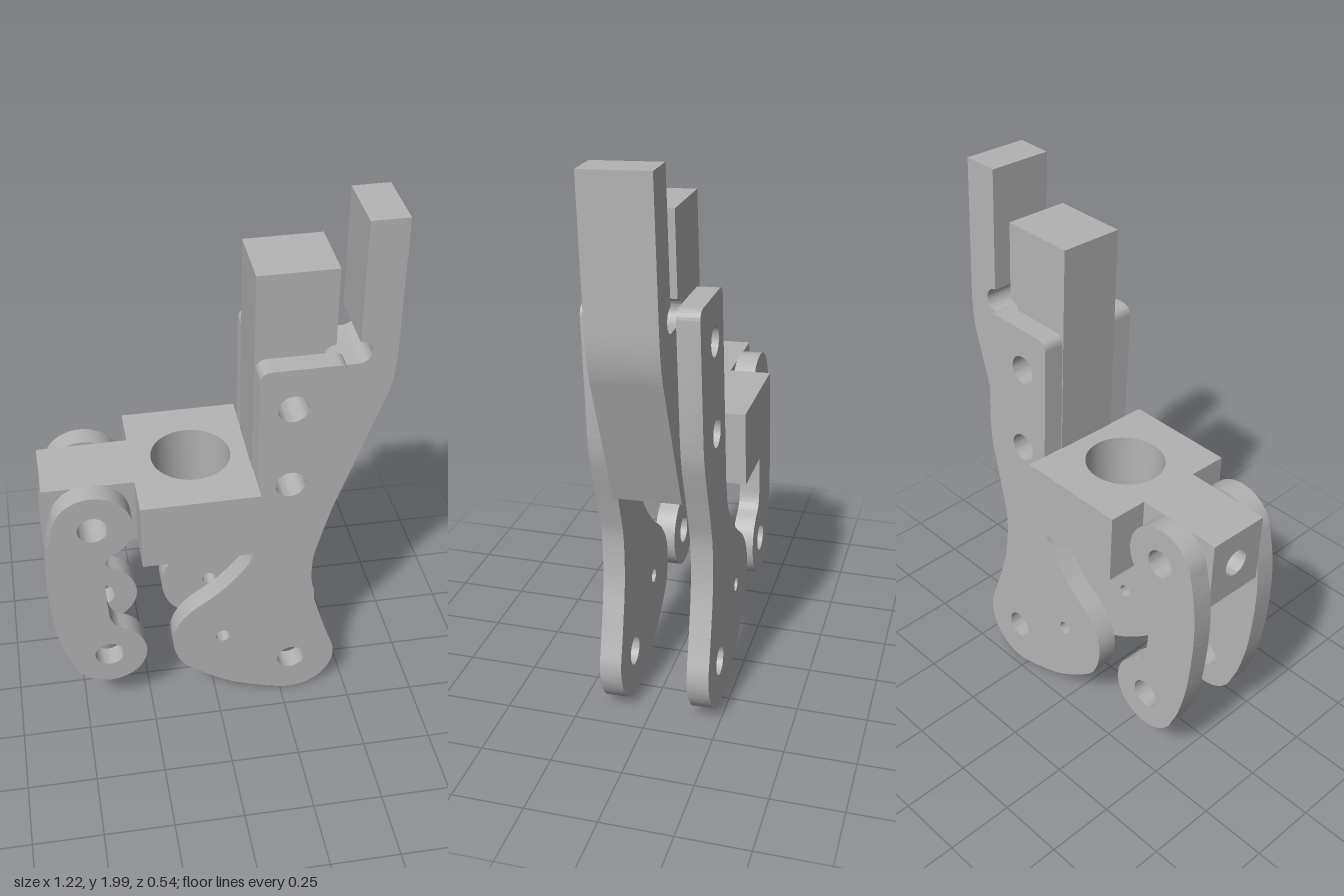
import * as THREE from 'three';
import { toCreasedNormals } from 'three/addons/utils/BufferGeometryUtils.js';

const steel = new THREE.MeshStandardMaterial({ color: 0xb3b3b3 });
steel.name = 'plain grey metal';

const points = (list) => list.map(([x, y]) => new THREE.Vector2(x, y));

function addHoles(shape, holes) {
  for (const [x, y, r] of holes) {
    const hole = new THREE.Path();
    hole.absarc(x, y, r, 0, Math.PI * 2, true);
    shape.holes.push(hole);
  }
  return shape;
}

function rectangle(x0, y0, x1, y1) {
  return new THREE.Shape(points([[x0, y0], [x1, y0], [x1, y1], [x0, y1]]));
}

// Extrusion along z from z0 to z1, with smooth curved walls and sharp rims
function extrude(shape, z0, z1) {
  const geometry = new THREE.ExtrudeGeometry(shape, {
    depth: z1 - z0, bevelEnabled: false, curveSegments: 20,
  });
  geometry.translate(0, 0, z0);
  return geometry;
}

function part(name, geometry) {
  const mesh = new THREE.Mesh(toCreasedNormals(geometry, 0.6), steel);
  mesh.name = name;
  return mesh;
}

const INNER = 0.118, OUTER = 0.196;      // side plate faces
const BOTTOM = 0.807, TOP = 1.066;       // block height range
const pinHoles = [[0.248, 1.364, 0.052], [0.248, 1.044, 0.052]];

// Central post and lever, one body with a keyhole notch between them
function bodyShape() {
  const s = new THREE.Shape();
  s.moveTo(0.13, 0.86);
  s.lineTo(0.428, 0.857);
  s.lineTo(0.59, 1.33);
  s.quadraticCurveTo(0.612, 1.4, 0.612, 1.5);
  s.lineTo(0.612, 1.99);
  s.lineTo(0.482, 1.99);
  s.lineTo(0.482, 1.549);
  s.absarc(0.482, 1.507, 0.042, Math.PI / 2, -Math.PI / 2, true);
  s.lineTo(0.4, 1.465);
  s.absarc(0.4, 1.507, 0.042, -Math.PI / 2, -Math.PI * 1.5, true);
  s.lineTo(0.4, 1.833);
  s.lineTo(0.13, 1.833);
  s.closePath();
  return addHoles(s, pinHoles);
}

// Tall side plate with a lobed foot
function plateShape() {
  const s = new THREE.Shape();
  s.moveTo(0.173, 1.52);
  s.quadraticCurveTo(0.133, 1.52, 0.133, 1.48);
  s.lineTo(0.133, 0.82);
  s.splineThru(points([
    [0.127, 0.77], [0.105, 0.69], [0.005, 0.572], [-0.105, 0.485], [-0.16, 0.41],
    [-0.174, 0.335], [-0.152, 0.245], [-0.098, 0.182], [0.04, 0.087], [0.19, 0.029],
  ]));
  s.absarc(0.276, 0.178, 0.166, -2.0, 0.35, false);
  s.splineThru(points([
    [0.396, 0.34], [0.352, 0.5], [0.341, 0.66], [0.367, 0.79], [0.415, 0.97], [0.427, 1.07],
  ]));
  s.lineTo(0.427, 1.48);
  s.quadraticCurveTo(0.427, 1.52, 0.387, 1.52);
  s.closePath();
  return addHoles(s, [...pinHoles, [0.276, 0.178, 0.052], [0.013, 0.341, 0.026]]);
}

// Curved hanging link with a round eye at each end
function linkShape() {
  const s = new THREE.Shape();
  s.absarc(-0.44, 0.937, 0.14, -1.05, Math.PI * 0.93, false);
  s.splineThru(points([
    [-0.603, 0.85], [-0.614, 0.7], [-0.603, 0.5], [-0.576, 0.36], [-0.545, 0.275],
  ]));
  s.absarc(-0.413, 0.32, 0.14, Math.PI * 1.1, Math.PI * 2.38, false);
  s.quadraticCurveTo(-0.402, 0.47, -0.405, 0.54);
  s.quadraticCurveTo(-0.414, 0.65, -0.406, 0.76);
  s.quadraticCurveTo(-0.405, 0.81, -0.37, 0.816);
  s.closePath();
  return addHoles(s, [[-0.44, 0.937, 0.053], [-0.413, 0.32, 0.053]]);
}

export function createModel() {
  const assembly = new THREE.Group();
  assembly.name = 'clampAssembly';

  assembly.add(part('postAndLever', extrude(bodyShape(), -INNER, INNER)));

  // Mirrored side plates and links
  for (const [side, z0, z1] of [['front', INNER, OUTER], ['back', -OUTER, -INNER]]) {
    assembly.add(part(side + 'Plate', extrude(plateShape(), z0, z1)));
    assembly.add(part(side + 'Link', extrude(linkShape(), z0, z1)));
  }

  // Cross block with a vertical bore
  const block = extrude(addHoles(rectangle(-0.28, -0.266, 0.132, 0.266), [[-0.069, 0, 0.14]]), BOTTOM, TOP);
  block.rotateX(-Math.PI / 2);
  assembly.add(part('boredBlock', block));

  // Tongue: cross-drilled middle, and an end with a hole along x
  const middle = addHoles(rectangle(-0.5, BOTTOM, -0.28, TOP), [[-0.44, 0.937, 0.053]]);
  assembly.add(part('tongue', extrude(middle, -INNER, INNER)));
  const end = extrude(addHoles(rectangle(-INNER, BOTTOM, INNER, TOP), [[0, 0.937, 0.05]]), -0.6, -0.5);
  end.rotateY(Math.PI / 2);
  assembly.add(part('tongueEnd', end));

  // The assembly leans slightly about its middle
  for (const child of assembly.children) child.position.y = -0.95;
  assembly.position.y = 0.95;
  assembly.rotation.set(0.034, 0, 0.012);

  const model = new THREE.Group();
  model.name = 'model';
  model.add(assembly);
  return model;
}
